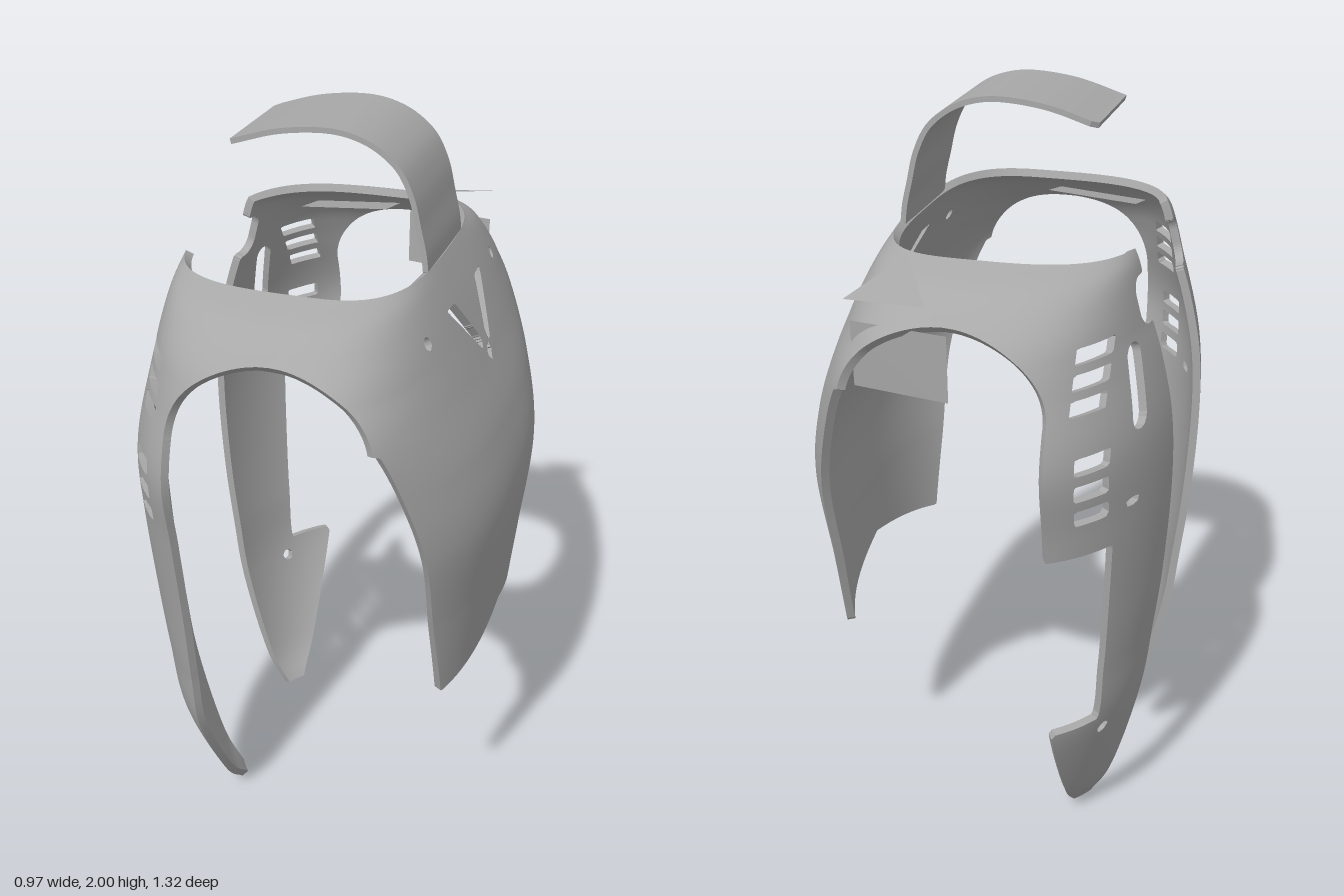
import * as THREE from 'three';

const V = (x, y, z) => new THREE.Vector3(x, y, z);
const grey = new THREE.MeshStandardMaterial({ color: 0xa8a8a8, side: THREE.DoubleSide });
grey.name = 'shell grey';

// Thick sheet from point(u, v), trimmed smoothly wherever keep(p) < 0
function sheet(name, point, keep, nu, nv, thick, closed) {
  const grid = [];
  const e = 1e-3;
  for (let i = 0; i <= nu; i++) {
    const row = [];
    for (let j = 0; j <= nv; j++) {
      const u = i / nu, v = j / nv;
      const p = point(u, v);
      const u0 = closed ? u - e : Math.max(0, u - e), u1 = closed ? u + e : Math.min(1, u + e);
      const du = point(u1, v).sub(point(u0, v));
      const dv = point(u, Math.min(1, v + e)).sub(point(u, Math.max(0, v - e)));
      const n = dv.cross(du).normalize();
      const border = j === 0 || j === nv || (!closed && (i === 0 || i === nu));
      row.push({ p, n, f: border ? Math.min(keep(p), -1e-5) : keep(p) });
    }
    grid.push(row);
  }
  const pos = [], nor = [];
  const put = (p, n) => { pos.push(p.x, p.y, p.z); nor.push(n.x, n.y, n.z); };
  const inner = (a) => a.p.clone().addScaledVector(a.n, -thick);
  const mix = (a, b) => {
    const t = a.f / (a.f - b.f);
    return { p: a.p.clone().lerp(b.p, t), n: a.n.clone().lerp(b.n, t).normalize(), f: 0 };
  };
  const triangle = (tri) => {
    const poly = [], cut = [];
    tri.forEach((a, k) => {
      const b = tri[(k + 1) % 3];
      if (a.f >= 0) poly.push(a);
      if ((a.f >= 0) !== (b.f >= 0)) {
        const m = mix(a, b);
        poly.push(m);
        if (a.f >= 0) cut[0] = m; else cut[1] = m;
      }
    });
    for (let k = 1; k + 1 < poly.length; k++) {
      const t = [poly[0], poly[k], poly[k + 1]];
      t.forEach((a) => put(a.p, a.n));
      t.reverse().forEach((a) => put(inner(a), a.n.clone().negate()));
    }
    // Rim along the trimmed edge
    if (cut[0] && cut[1]) {
      const [a, b] = cut, c = inner(a), d = inner(b);
      const n = c.clone().sub(a.p).cross(b.p.clone().sub(a.p)).normalize();
      [a.p, c, b.p, b.p, c, d].forEach((q) => put(q, n));
    }
  };
  for (let i = 0; i < nu; i++) for (let j = 0; j < nv; j++) {
    const a = grid[i][j], b = grid[i][j + 1], c = grid[i + 1][j], d = grid[i + 1][j + 1];
    triangle([a, b, c]);
    triangle([c, b, d]);
  }
  const g = new THREE.BufferGeometry();
  g.setAttribute('position', new THREE.Float32BufferAttribute(pos, 3));
  g.setAttribute('normal', new THREE.Float32BufferAttribute(nor, 3));
  const mesh = new THREE.Mesh(g, grey);
  mesh.name = name;
  return mesh;
}

// Thin flat plate from corner points
function plate(name, pts) {
  const g = new THREE.BufferGeometry().setFromPoints(pts);
  g.setIndex(pts.length === 3 ? [0, 1, 2] : [0, 1, 2, 0, 2, 3]);
  g.computeVertexNormals();
  const m = new THREE.Mesh(g, grey);
  m.name = name;
  return m;
}

// Ring sizes as (height, half length in x, half width in z) on either side of x = 0
const curve = (rows) => new THREE.CatmullRomCurve3(rows.map((r) => V(...r)), false, 'catmullrom', 0.5);
const plus = curve([[0, .40, .45], [.12, .40, .48], [.4, .42, .53], [.6, .437, .565], [.8, .458, .59],
  [1.05, .48, .645], [1.24, .442, .695], [1.4, .38, .725], [1.5, .337, .655], [1.57, .305, .58],
  [1.63, .275, .50], [1.668, .255, .40]]);
const minus = curve([[0, .34, .35], [.12, .385, .45], [.4, .445, .60], [.6, .47, .63], [.8, .49, .65],
  [1.05, .50, .69], [1.24, .49, .727], [1.4, .458, .69], [1.5, .425, .64], [1.57, .405, .58],
  [1.63, .392, .50], [1.668, .385, .40]]);

function bodyPoint(u, v) {
  const a = u * Math.PI * 2, c = Math.cos(a), s = Math.sin(a);
  const r = (c > 0 ? plus : minus).getPoint(v);
  const base = c > 0 ? 2.6 : 2.45;
  const k = 2 / THREE.MathUtils.lerp(base, 3.2, THREE.MathUtils.smoothstep(r.x, 1.4, 1.66));
  return V(Math.sign(c) * r.y * Math.abs(c) ** k, r.x, Math.sign(s) * r.z * Math.abs(s) ** k);
}

// Signed distances, positive outside the opening
const round = (a, b, ca, cb, r) => Math.hypot(a - ca, b - cb) - r;
const box = (a, b, ca, cb, ha, hb, r = 0) => {
  const p = Math.abs(a - ca) - ha + r, q = Math.abs(b - cb) - hb + r;
  return Math.hypot(Math.max(p, 0), Math.max(q, 0)) + Math.min(Math.max(p, q), 0) - r;
};
const arch = (x, y) => (Math.hypot(x / 0.26, (y - 1.36) / 0.205) - 1) * 0.23;

// Broad panel: tapered sides, notched hem, V opening and bolt holes
function keepPanel({ x, y, z }) {
  const w = Math.abs(z);
  const side = y > 1.39 ? arch(x, y) : 0.36 + (y - 0.56) * 0.29 - w;
  const hem = y - 0.645 + w * 0.236;
  const vee = Math.max(1.38 + 1.18 * w - y, y - 1.42 - 1.5 * w, y - 1.57);
  return Math.min(side, hem, vee, round(w, y, 0.315, 1.55, 0.016));
}

// Twin flaps: straight inner edge, louvres, slot, collar notch and side cut-out
function keepFlap({ x, y, z }) {
  const w = Math.abs(z);
  let f = Math.min(w - 0.21, y > 1.36 ? arch(x, y) : -0.26 - x);
  f = Math.min(f, round(w, y, 0.395, 0.38, 0.018), round(x, y, -0.43, 1.1, 0.012));
  for (let i = 0; i < 3; i++) {
    f = Math.min(f, box(x, y, -0.336, 1.39 + i * 0.056, 0.033, 0.018),
      box(x, y, -0.355, 1.115 + i * 0.07, 0.033, 0.022));
  }
  f = Math.min(f, box(w, y, 0.368 - 0.25 * (y - 1.39), 1.38, 0.032, 0.1, 0.03), box(w, y, 0.2, 1.55, 0.075, 0.06, 0.04));
  if (z < 0) f = Math.min(f, Math.max(0.43 + (y - 0.44) * 0.1 - w, 0.43 - y, y - 1.0));
  return f;
}

export function createModel() {
  const group = new THREE.Group();
  group.name = 'bodyShell';

  group.add(sheet('shell', bodyPoint, (p) => (p.x > 0 ? keepPanel(p) : keepFlap(p)), 280, 165, 0.022, true));

  // Arched strip rising from the panel over the neck opening
  const path = new THREE.CatmullRomCurve3([[.252, 1.66], [.246, 1.71], [.232, 1.77], [.212, 1.85], [.178, 1.917],
    [.125, 1.963], [.07, 1.988], [0, 2], [-.13, 1.988], [-.26, 1.95]].map(([x, y]) => V(x, y, 0)));
  const strip = (u, v) => path.getPoint(u).setZ(0.158 - 0.316 * v);
  group.add(sheet('neckStrip', strip, () => 1, 64, 24, 0.014, false));

  // Hidden plates beneath both shoulder straps
  for (const s of [1, -1]) {
    group.add(plate('strapPlate', [V(-.26, 1.61, s * .335), V(-.01, 1.63, s * .335),
      V(-.01, 1.6, s * .48), V(-.26, 1.58, s * .48)]));
  }

  // Loose tab in one armhole and the fin on the shoulder above it
  group.add(plate('armholeTab', [V(-.015, 1.38, -.595), V(.235, 1.38, -.555), V(.235, 1.55, -.565), V(-.015, 1.55, -.6)]));
  group.add(plate('shoulderFin', [V(.04, 1.61, -.59), V(.23, 1.62, -.61), V(.14, 1.672, -.41)]));

  return group;
}
